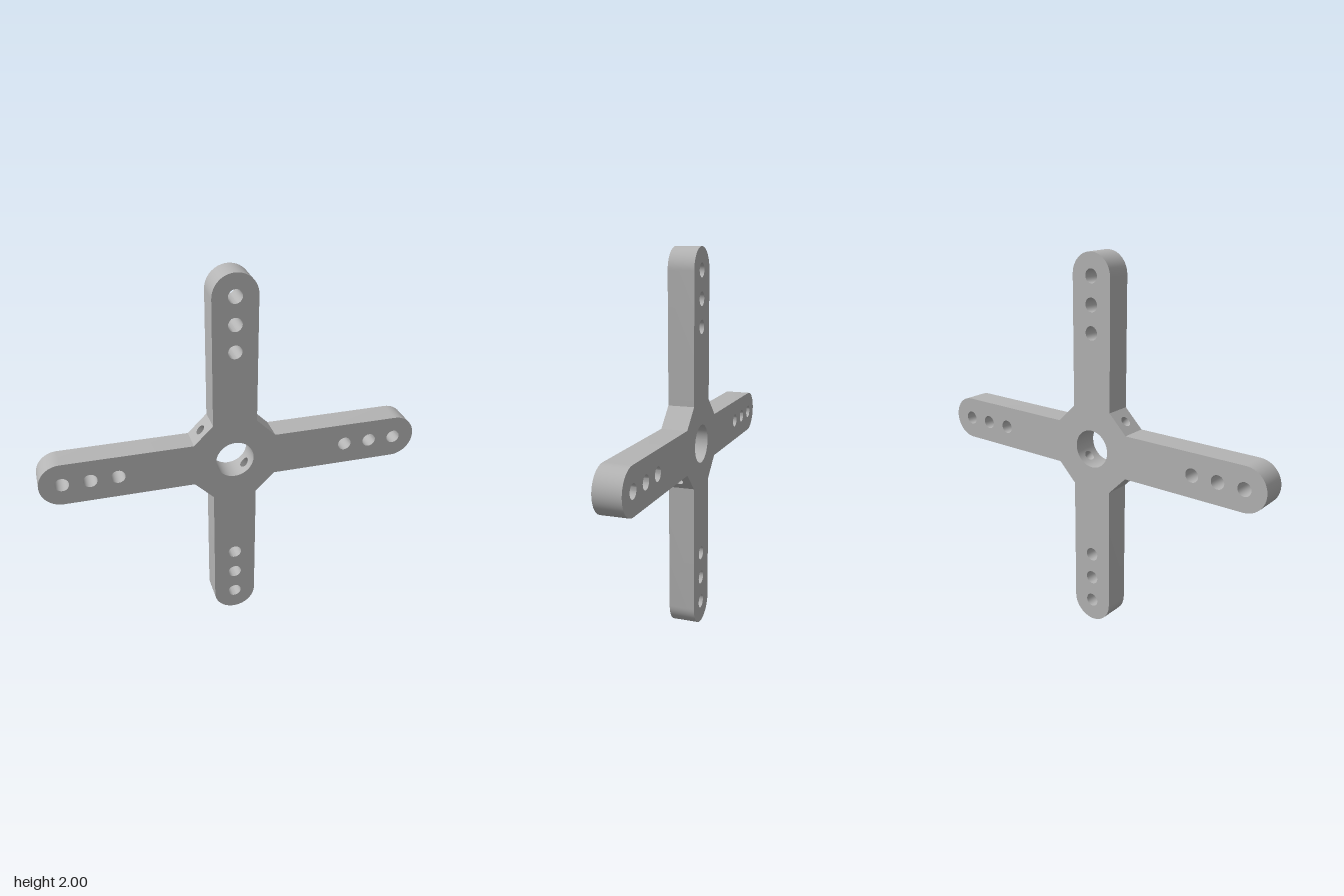
import * as THREE from 'three';
import { toCreasedNormals } from 'three/addons/utils/BufferGeometryUtils.js';
import { ParametricGeometry } from 'three/addons/geometries/ParametricGeometry.js';

const H = 0.069;          // half thickness
const W = 0.115;          // half arm width
const C = 0.215;          // corner of the hub chamfers
const BORE = 0.1, PIN = 0.036, SCREW = 0.027;
const FACE = (W + C) / Math.SQRT2;        // hub centre to chamfer face
const HALF = (C - W) / Math.SQRT2;        // half length of a chamfer

// points along an arc, from angle a to angle b
function arc(cx, cy, r, a, b, n) {
  return Array.from({ length: n + 1 }, (_, i) => {
    const t = a + (b - a) * i / n;
    return new THREE.Vector2(cx + r * Math.cos(t), cy + r * Math.sin(t));
  });
}

// upright wall through the thickness; it faces right of the walking direction
function wallGeometry(points) {
  const pos = [];
  for (let i = 0; i < points.length - 1; i++) {
    const a = points[i], b = points[i + 1];
    pos.push(a.x, a.y, -H, b.x, b.y, -H, b.x, b.y, H);
    pos.push(a.x, a.y, -H, b.x, b.y, H, a.x, a.y, H);
  }
  const geo = new THREE.BufferGeometry();
  geo.setAttribute('position', new THREE.Float32BufferAttribute(pos, 3));
  return toCreasedNormals(geo, 0.5);
}

// point on the unit square in the direction phi
function square(phi) {
  const c = Math.cos(phi), s = Math.sin(phi), m = Math.max(Math.abs(c), Math.abs(s));
  return [c / m, s / m];
}

export function createModel() {
  const group = new THREE.Group();
  group.name = 'crossArm';
  const grey = new THREE.MeshStandardMaterial({ color: 0xb4b4b4 });
  grey.name = 'grey plastic';
  const add = (name, geo) => {
    const mesh = new THREE.Mesh(geo, grey);
    mesh.name = name;
    mesh.position.y = 1;
    group.add(mesh);
  };

  const outline = [], holes = [];
  const origin = new THREE.Vector2();
  for (let k = 0; k < 4; k++) {
    const turn = k * Math.PI / 2;
    // rounded arm side, from one chamfer to the next
    const edge = [
      new THREE.Vector2(C, -W),
      ...arc(1 - W, 0, W, -Math.PI / 2, Math.PI / 2, 24),
      new THREE.Vector2(C, W),
    ].map(p => p.rotateAround(origin, turn));
    outline.push(...edge);
    add('armEdge', wallGeometry(edge));

    // three pin holes per arm
    for (const d of [0.605, 0.745, 0.885]) {
      const c = new THREE.Vector2(d, 0).rotateAround(origin, turn);
      const ring = arc(c.x, c.y, PIN, 2 * Math.PI, 0, 24);
      holes.push(ring.slice(0, -1));
      add('pinHole', wallGeometry(ring));
    }

    // plain chamfers and the plain quarters of the bore
    if (k % 2 === 0) {
      const chamfer = [new THREE.Vector2(C, W), new THREE.Vector2(W, C)];
      add('chamfer', wallGeometry(chamfer.map(p => p.rotateAround(origin, turn))));
      add('boreWall', wallGeometry(arc(0, 0, BORE, turn + Math.PI / 2, turn, 16)));
    }
  }

  // front and back faces
  const shape = new THREE.Shape(outline);
  holes.push(arc(0, 0, BORE, 2 * Math.PI, 0, 64).slice(0, -1));
  shape.holes = holes.map(pts => new THREE.Path(pts));
  add('frontFace', new THREE.ShapeGeometry(shape).translate(0, 0, H));
  add('backFace', new THREE.ShapeGeometry(shape).rotateY(Math.PI).translate(0, 0, -H));

  // set screw holes drilled through two opposite chamfers into the bore
  for (const turn of [Math.PI * 0.75, Math.PI * 1.75]) {
    const drilled = (name, stacks, fn) => {
      const geo = new ParametricGeometry((u, v, out) => fn(u * Math.PI * 2, v, out), 48, stacks);
      add(name, geo.rotateZ(turn));
    };
    drilled('drilledChamfer', 1, (phi, v, out) => {
      const [c, s] = square(phi);
      out.set(FACE,
        THREE.MathUtils.lerp(HALF * c, SCREW * Math.cos(phi), v),
        THREE.MathUtils.lerp(H * s, SCREW * Math.sin(phi), v));
    });
    drilled('drilledBoreWall', 6, (phi, v, out) => {
      const [c, s] = square(phi);
      const a = THREE.MathUtils.lerp(Math.asin(SCREW * Math.cos(phi) / BORE), c * Math.PI / 4, v);
      out.set(BORE * Math.cos(a), BORE * Math.sin(a),
        THREE.MathUtils.lerp(SCREW * Math.sin(phi), H * s, v));
    });
    drilled('screwHole', 1, (phi, v, out) => {
      const t = SCREW * Math.cos(phi);
      out.set(THREE.MathUtils.lerp(FACE, Math.sqrt(BORE * BORE - t * t), v), t, SCREW * Math.sin(phi));
    });
  }
  return group;
}
